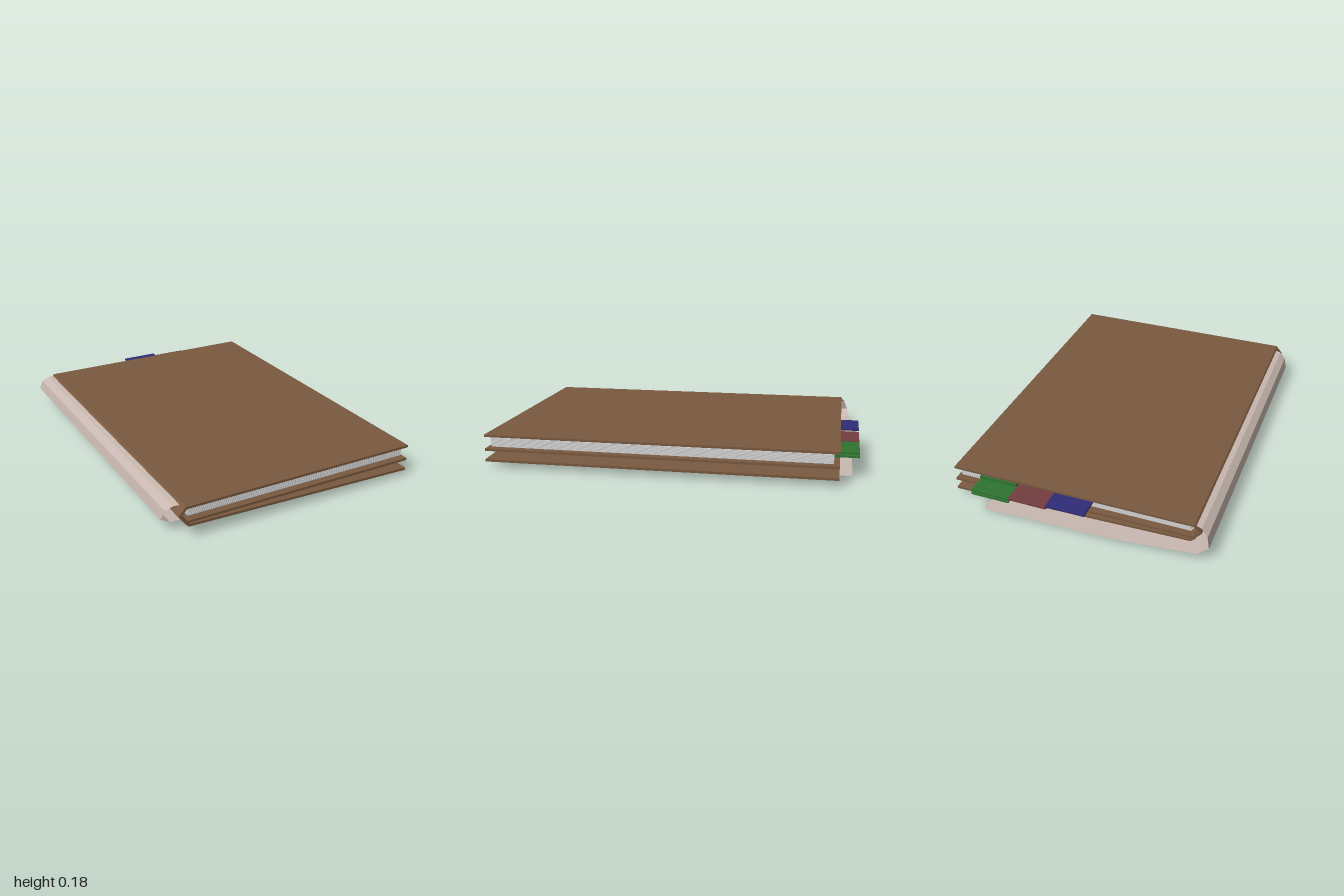
import * as THREE from 'three';

const mat = (color, side = THREE.FrontSide) =>
  new THREE.MeshStandardMaterial({ color, side, flatShading: true });

// Board of constant thickness following a folded line in x/y, run along z
function foldedBoard(points, thickness, z0, z1) {
  const pts = points.map(([x, y]) => new THREE.Vector2(x, y));
  const normal = (a, b) => new THREE.Vector2(a.y - b.y, b.x - a.x).normalize();
  const left = [], right = [];
  pts.forEach((p, i) => {
    const n1 = normal(pts[Math.max(i - 1, 0)], pts[Math.max(i, 1)]);
    const last = pts.length - 1;
    const n2 = normal(pts[Math.min(i, last - 1)], pts[Math.min(i + 1, last)]);
    const n = n1.clone().add(n2).normalize();
    const offset = n.multiplyScalar(thickness / 2 / Math.max(n.dot(n1), 0.5));
    left.push(p.clone().add(offset));
    right.unshift(p.clone().sub(offset));
  });
  const geo = new THREE.ExtrudeGeometry(new THREE.Shape([...left, ...right]),
    { depth: z1 - z0, bevelEnabled: false });
  return geo.translate(0, 0, z0);
}

// Thin open sheet through sections [x, y, zBack, zFront]
function sheet(sections) {
  const pos = [], index = [];
  sections.forEach(([x, y, zb, zf], i) => {
    pos.push(x, y, zb, x, y, zf);
    if (i) {
      const a = 2 * i - 2;
      index.push(a, a + 1, a + 2, a + 1, a + 3, a + 2);
    }
  });
  const geo = new THREE.BufferGeometry();
  geo.setAttribute('position', new THREE.Float32BufferAttribute(pos, 3));
  geo.setIndex(index);
  geo.computeVertexNormals();
  return geo;
}

export function createModel() {
  const group = new THREE.Group();
  const add = (name, geo, material) => {
    const mesh = new THREE.Mesh(geo, material);
    mesh.name = name;
    group.add(mesh);
    return mesh;
  };
  const box = (name, x0, x1, y0, y1, z0, z1, material) =>
    add(name, new THREE.BoxGeometry(x1 - x0, y1 - y0, z1 - z0), material)
      .position.set((x0 + x1) / 2, (y0 + y1) / 2, (z0 + z1) / 2);

  const brown = mat(0x7a5a40);

  // Cover: top board, pointed spine and middle board in one fold
  add('cover', foldedBoard([
    [0.72, 0.179], [-0.63, 0.179], [-0.664, 0.14], [-0.63, 0.101], [0.72, 0.101],
  ], 0.013, -0.9, 1), brown);

  // Lower flap hinged at the spine, opening slightly downwards
  add('lowerFlap', foldedBoard([
    [-0.638, 0.103], [-0.615, 0.08], [0.72, 0.041],
  ], 0.013, -0.9, 1), brown);

  // Pages
  const paper = mat(0xcccccc);
  const count = 8, y0 = 0.115, y1 = 0.165, step = (y1 - y0) / count;
  for (let i = 0; i < count; i++) {
    const y = y0 + i * step;
    box('page', -0.61, 0.70, y, y + step * 0.7, -0.87, 0.97, paper);
  }
  // Folded paper at the spine
  add('pageFold', sheet([
    [-0.605, 0.165, -0.87, 0.97], [-0.63, 0.158, -0.87, 0.97],
    [-0.628, 0.14, -0.87, 0.97], [-0.605, 0.115, -0.87, 0.97],
  ]), mat(0xcccccc, THREE.DoubleSide));

  // Index tabs, stepping down from the first to the last
  const tabs = [
    ['blueTab', -0.083, 0x2f2c78, [0.157]],
    ['redTab', 0.133, 0x743c40, [0.142]],
    ['greenTab', 0.35, 0x2f7432, [0.12, 0.139]],
  ];
  for (const [name, x, color, levels] of tabs) {
    const material = mat(color);
    for (const y of levels)
      box(name, x, x + 0.217, y - 0.005, y + 0.005, -1, -0.86, material);
  }
  box('greenTabBase', 0.35, 0.567, 0.113, 0.163, -0.9, -0.86, mat(0x2f7432));

  // Loose wrapper, skewed as it passes round the spine and underneath
  add('wrapper', sheet([
    [-0.64, 0.176, -0.89, 0.955], [-0.672, 0.173, -0.9, 0.945],
    [-0.708, 0.145, -0.92, 0.925], [-0.723, 0.09, -0.94, 0.905],
    [-0.665, 0.052, -0.955, 0.89], [-0.22, 0.017, -0.965, 0.88],
    [0.52, 0.002, -0.97, 0.87],
  ]), mat(0xc8b8b0, THREE.DoubleSide));

  return group;
}
